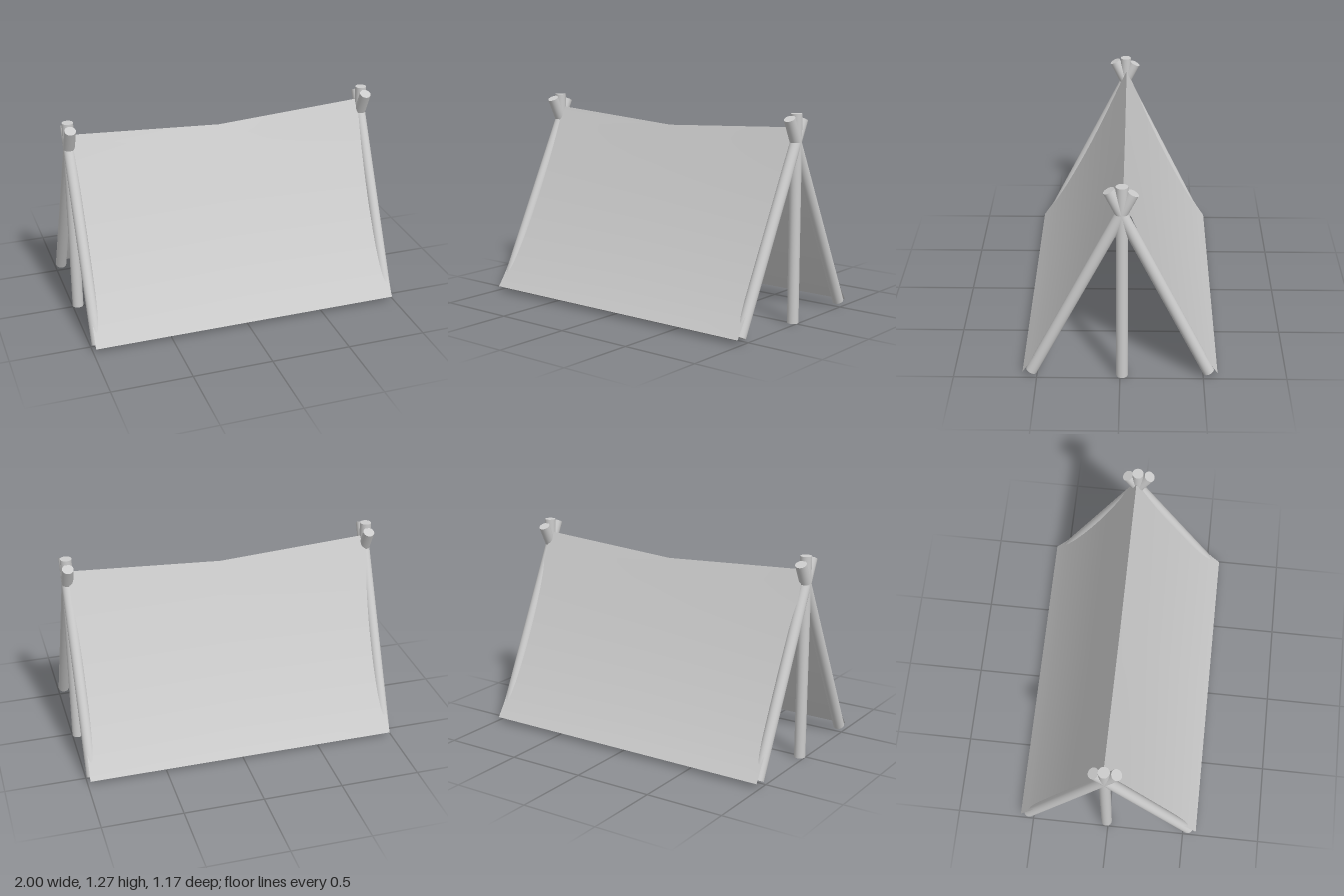
import * as THREE from 'three';

const grey = new THREE.MeshStandardMaterial({ color: 0xcccccc });
const clothGrey = new THREE.MeshStandardMaterial({ color: 0xcccccc, side: THREE.DoubleSide });

// Round pole between two points
function pole(name, from, to, radius = 0.035) {
  const dir = to.clone().sub(from);
  const mesh = new THREE.Mesh(new THREE.CylinderGeometry(radius, radius, dir.length(), 24), grey);
  mesh.position.copy(from).addScaledVector(dir, 0.5);
  mesh.quaternion.setFromUnitVectors(new THREE.Vector3(0, 1, 0), dir.normalize());
  mesh.name = name;
  return mesh;
}

// One slope of the cloth: ridge dips in the middle, slope bows inwards
function clothSide(name, side) {
  const geo = new THREE.PlaneGeometry(2, 1, 2, 16);
  const pos = geo.attributes.position;
  const ridgeZ = -0.018, hemZ = 0.585 * side, hemY = 0.03;
  for (let i = 0; i < pos.count; i++) {
    const u = pos.getX(i);
    const t = pos.getY(i) + 0.5;
    const ridgeY = 1.135 + 0.057 * Math.abs(u);
    const sag = 0.034 * Math.sin(Math.PI * Math.pow(t, 0.8));
    const halfWidth = 0.985 - 0.03 * t;
    pos.setXYZ(i, u * halfWidth * side, hemY + (ridgeY - hemY) * t,
      hemZ + (ridgeZ - hemZ) * t - sag * side);
  }
  geo.computeVertexNormals();
  const mesh = new THREE.Mesh(geo, clothGrey);
  mesh.name = name;
  return mesh;
}

export function createModel() {
  const model = new THREE.Group();
  model.name = 'tent';

  // Three crossing poles at each end
  for (const [end, x] of [['left', 0.965], ['right', -0.965]]) {
    const frame = new THREE.Group();
    frame.name = `${end}Frame`;
    const at = (y, z) => new THREE.Vector3(x, y, z);
    frame.add(
      pole('uprightPole', at(0, -0.012), at(1.275, -0.012)),
      pole('frontPole', at(0.03, 0.532), at(1.235, -0.075)),
      pole('backPole', at(0.03, -0.532), at(1.25, 0.062)),
    );
    model.add(frame);
  }

  // Cloth draped over the frames
  model.add(clothSide('frontCloth', 1), clothSide('backCloth', -1));
  return model;
}
